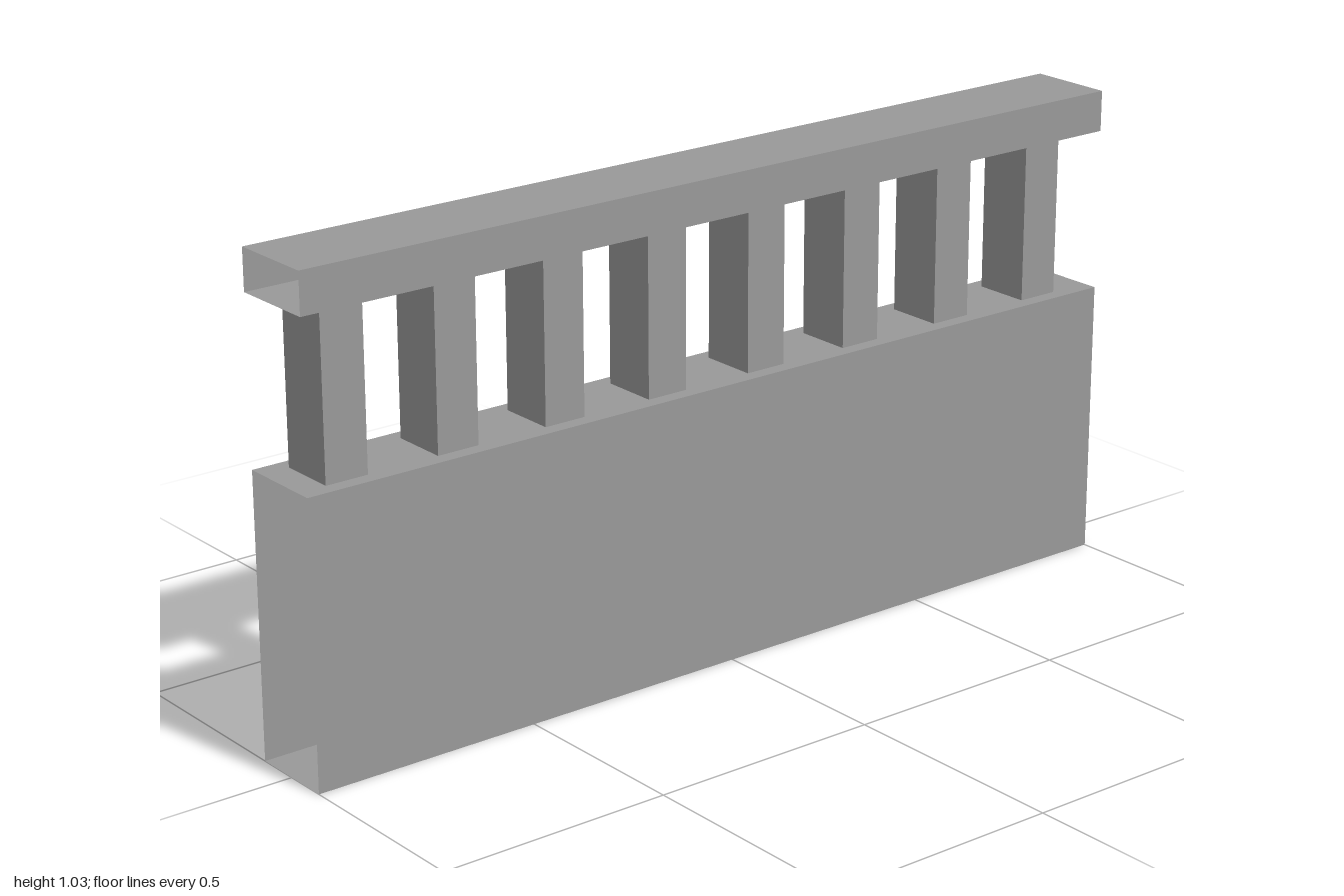
import * as THREE from 'three';

const material = new THREE.MeshStandardMaterial({ color: 0x999999, flatShading: true, side: THREE.DoubleSide });

// Box between two heights that keeps only the listed sides (0 +x, 1 -x, 2 top, 3 bottom, 4 +z, 5 -z)
function openBox(name, width, bottom, top, depth, sides) {
  const geometry = new THREE.BoxGeometry(width, top - bottom, depth);
  const index = Array.from(geometry.index.array);
  geometry.setIndex(sides.flatMap((s) => index.slice(s * 6, s * 6 + 6)));
  geometry.clearGroups();
  const mesh = new THREE.Mesh(geometry, material);
  mesh.name = name;
  mesh.position.y = (bottom + top) / 2;
  return mesh;
}

export function createModel() {
  const model = new THREE.Group();
  model.name = 'balustrade';

  const wallTop = 0.594, railBottom = 0.94, railTop = 1.027;

  // Low wall and handrail, both hollow and open at their ends
  const alongSides = [0, 1, 2, 3];
  model.add(openBox('baseWall', 0.187, 0, wallTop, 2, alongSides));
  model.add(openBox('handrail', 0.187, railBottom, railTop, 2, alongSides));

  // Row of balusters, open where they meet the wall and the rail
  const balusters = new THREE.Group();
  balusters.name = 'balusters';
  for (let i = 0; i < 8; i++) {
    const baluster = openBox('baluster', 0.124, wallTop, railBottom, 0.093, [0, 1, 4, 5]);
    baluster.position.z = 0.893 - i * 0.2506;
    balusters.add(baluster);
  }
  model.add(balusters);

  return model;
}
